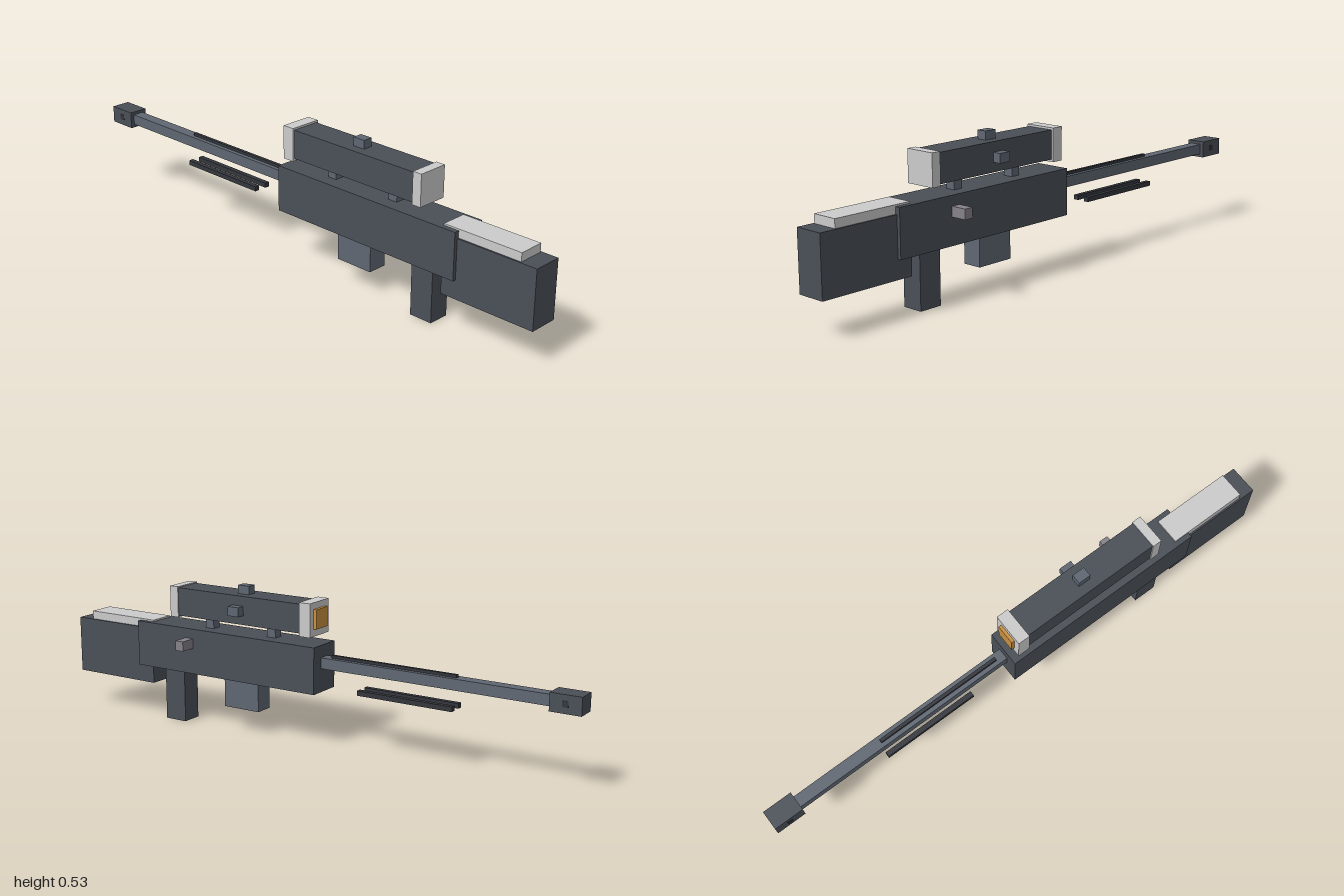
import * as THREE from 'three';

const material = (color) => new THREE.MeshStandardMaterial({ color, flatShading: true });

export function createModel() {
  const model = new THREE.Group();
  const dark = material(0x4a4f57);
  const steel = material(0x5f6772);
  const black = material(0x33363c);
  const grey = material(0xcccccc);
  const boltGrey = material(0x85828a);
  const glass = material(0xc8913f);
  const CX = -0.03; // centre line; the bolt handle sticks out to +x

  // Box from its extents along each axis
  function block(name, mat, [x0, x1], [y0, y1], [z0, z1]) {
    const mesh = new THREE.Mesh(new THREE.BoxGeometry(x1 - x0, y1 - y0, z1 - z0), mat);
    mesh.position.set((x0 + x1) / 2, (y0 + y1) / 2, (z0 + z1) / 2);
    mesh.name = name;
    model.add(mesh);
  }
  const wide = (w) => [CX - w / 2, CX + w / 2];

  // Body
  block('receiver', dark, wide(0.13), [0.194, 0.358], [-0.057, 0.706]);
  block('stock', dark, wide(0.105), [0.129, 0.334], [0.65, 1]);
  block('cheekRest', grey, wide(0.094), [0.33, 0.364], [0.648, 0.94]);
  block('grip', dark, wide(0.076), [0, 0.2], [0.518, 0.604]);
  block('magazine', steel, wide(0.07), [0.086, 0.2], [0.194, 0.339]);
  block('boltHandle', boltGrey, [0.03, 0.093], [0.288, 0.323], [0.455, 0.488]);

  // Barrel and muzzle
  block('barrel', steel, wide(0.042), [0.277, 0.315], [-0.9, -0.05]);
  block('muzzle', dark, wide(0.07), [0.265, 0.326], [-1, -0.893]);
  block('muzzlePort', black, wide(0.073), [0.286, 0.306], [-0.956, -0.936]);
  block('topRail', black, wide(0.012), [0.312, 0.325], [-0.562, -0.09]);

  // Folded bipod legs under the barrel
  for (const side of [-1, 1]) {
    const x = CX + side * 0.0235;
    block('bipodLeg', black, [x - 0.009, x + 0.009], [0.208, 0.225], [-0.562, -0.208]);
  }

  // Scope with end caps, lens, mounts and turrets
  block('scopeBody', dark, wide(0.104), [0.397, 0.498], [0, 0.535]);
  block('scopeFrontCap', grey, wide(0.117), [0.388, 0.505], [-0.037, 0.007]);
  block('scopeRearCap', grey, wide(0.111), [0.391, 0.502], [0.526, 0.56]);
  block('scopeLens', glass, wide(0.07), [0.414, 0.482], [-0.048, -0.03]);
  for (const z of [0.149, 0.414]) block('scopeMount', steel, wide(0.035), [0.35, 0.4], [z - 0.017, z + 0.017]);
  block('topTurret', steel, wide(0.035), [0.49, 0.528], [0.242, 0.288]);
  block('sideTurret', steel, [0.015, 0.052], [0.43, 0.463], [0.242, 0.288]);

  return model;
}
